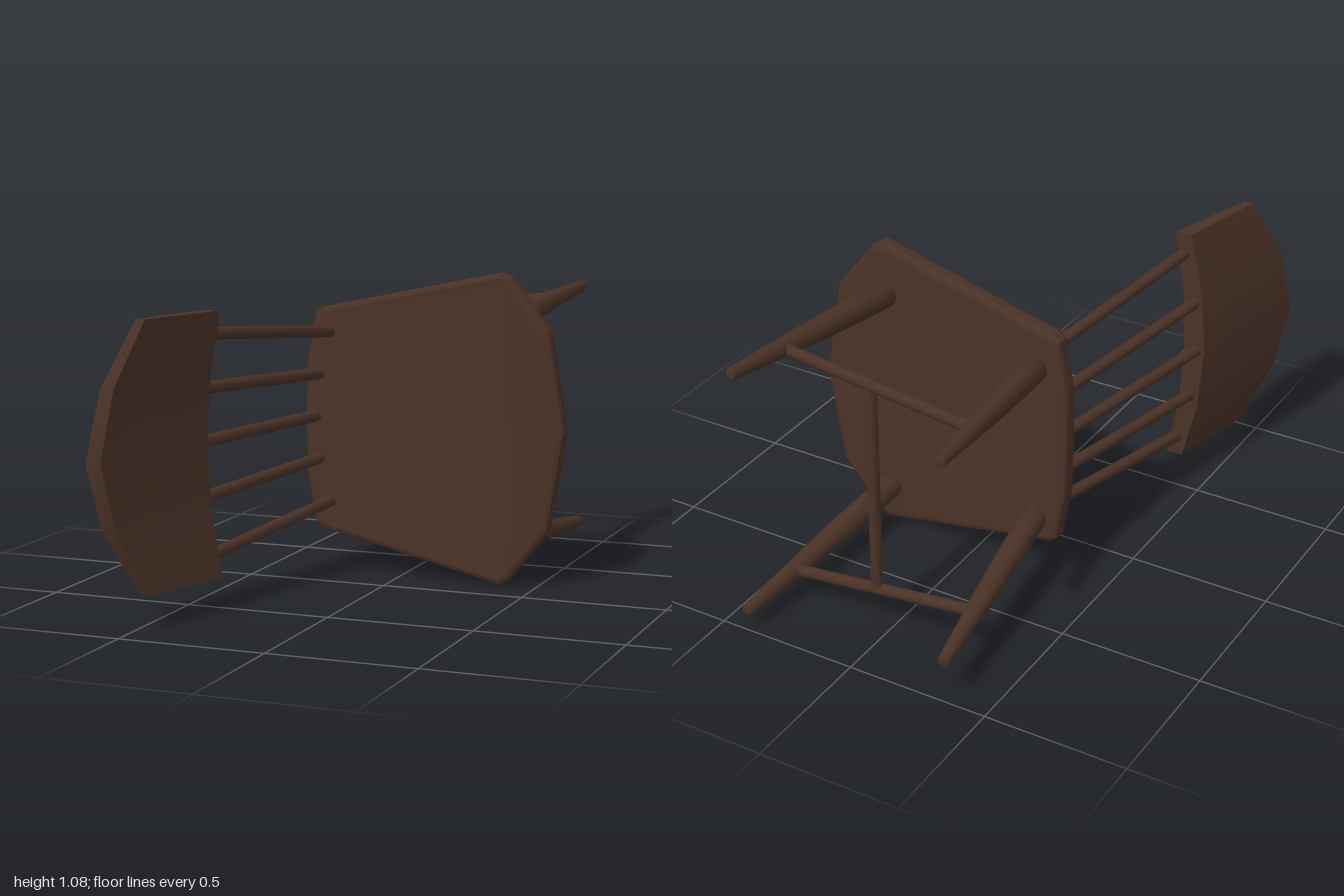
import * as THREE from 'three';

// A spindle-back chair lying on its side: chair-up is +z, chair-front is +x.
export function createModel() {
  const chair = new THREE.Group();
  chair.name = 'chair';
  const wood = new THREE.MeshStandardMaterial({ color: 0x4a3227 });
  wood.name = 'dark brown wood';
  const add = (name, geometry) => {
    const mesh = new THREE.Mesh(geometry, wood);
    mesh.name = name;
    chair.add(mesh);
    return mesh;
  };

  // Turned rod from a to b, radii spread evenly along it
  const rod = (name, a, b, radii, sides = 10) => {
    const start = new THREE.Vector3(...a);
    const dir = new THREE.Vector3(...b).sub(start);
    const len = dir.length();
    const profile = [new THREE.Vector2(0, 0), new THREE.Vector2(radii[0], 0)];
    radii.forEach((r, i) => {
      if (i > 0) profile.push(new THREE.Vector2(r, (len * i) / (radii.length - 1)));
    });
    const tip = radii[radii.length - 1];
    profile[profile.length - 1].y -= 0.008;
    profile.push(new THREE.Vector2(tip * 0.75, len), new THREE.Vector2(0, len));
    const mesh = add(name, new THREE.LatheGeometry(profile, sides));
    mesh.position.copy(start);
    mesh.quaternion.setFromUnitVectors(new THREE.Vector3(0, 1, 0), dir.normalize());
  };

  // Seat: bevelled plate, rising toward the front and dipping at the lip
  const half = [[0.597, 0], [0.54, 0.345], [0.405, 0.52], [0.37, 0.54],
    [-0.305, 0.395], [-0.332, 0.375], [-0.366, 0.2]];
  const outline = [...half, [-0.37, 0], ...half.slice(1).reverse().map(([x, v]) => [x, -v])];
  const seat = new THREE.ExtrudeGeometry(
    new THREE.Shape(outline.map(([x, v]) => new THREE.Vector2(x, 0.54 + v))),
    { depth: 0.03, bevelEnabled: true, bevelThickness: 0.018, bevelSize: 0.018,
      bevelOffset: -0.018, bevelSegments: 2 });
  const sp = seat.attributes.position;
  for (let i = 0; i < sp.count; i++) {
    const x = sp.getX(i);
    const lift = x < 0.38 ? 0.0625 * (x - 0.38) : -0.05 * (x - 0.38);
    sp.setZ(i, sp.getZ(i) - 0.187 + lift);
  }
  seat.computeVertexNormals();
  add('seat', seat);

  // Legs: splayed, tapering to the foot, with side stretchers and a cross bar
  const legRadii = [0.044, 0.043, 0.039, 0.03, 0.021];
  const legs = {
    upper: { front: [[0.345, 0.895, -0.18], [0.405, 0.966, -1]],
             rear: [[-0.245, 0.8, -0.215], [-0.35, 0.888, -1]] },
    lower: { front: [[0.345, 0.147, -0.18], [0.405, 0.073, -1]],
             rear: [[-0.245, 0.235, -0.215], [-0.35, 0.151, -1]] },
  };
  const at = ([a, b], z) => {
    const t = (z - a[2]) / (b[2] - a[2]);
    return a.map((v, i) => v + (b[i] - v) * t);
  };
  const middles = [];
  for (const side of ['upper', 'lower']) {
    const { front, rear } = legs[side];
    rod(side + 'FrontLeg', ...front, legRadii);
    rod(side + 'RearLeg', ...rear, legRadii);
    const f = at(front, -0.748), r = at(rear, -0.748);
    rod(side + 'SideStretcher', r, f, [0.021, 0.021]);
    middles.push(f.map((v, i) => v * 0.53 + r[i] * 0.47));
  }
  rod('crossStretcher', middles[0], middles[1], [0.021, 0.021]);

  // Five spindles fanning out from the seat to the backrest
  for (let i = -2; i <= 2; i++) {
    const k = (i * i) / 4;
    rod('spindle', [-0.322 + 0.055 * k, 0.55 + 0.15 * i, -0.205],
      [-0.46 + 0.06 * k, 0.55 + 0.184 * i, 0.56], [0.021, 0.021], 8);
  }

  // Backrest: curved panel with an arched top, bent from a segmented box
  const back = new THREE.BoxGeometry(1, 2, 1, 1, 4, 3);
  const columns = [0, 0.23, 0.44], tops = [1, 0.955, 0.862];
  const bp = back.attributes.position;
  for (let i = 0; i < bp.count; i++) {
    const u = bp.getY(i), s = bp.getZ(i) + 0.5;
    const c = Math.round(Math.abs(u) * 2);
    const v = Math.sign(u) * columns[c];
    const bow = 1 - (v / 0.44) ** 2;
    const z = 0.528 + s * (tops[c] - 0.528);
    const frontX = -0.36 - 0.05 * bow - 0.3 * (z - 0.528);
    const thick = 0.058 + 0.02 * bow - 0.026 * s;
    bp.setXYZ(i, bp.getX(i) > 0 ? frontX : frontX - thick, 0.55 + v, z);
  }
  back.computeVertexNormals();
  add('backrest', back);

  return chair;
}
